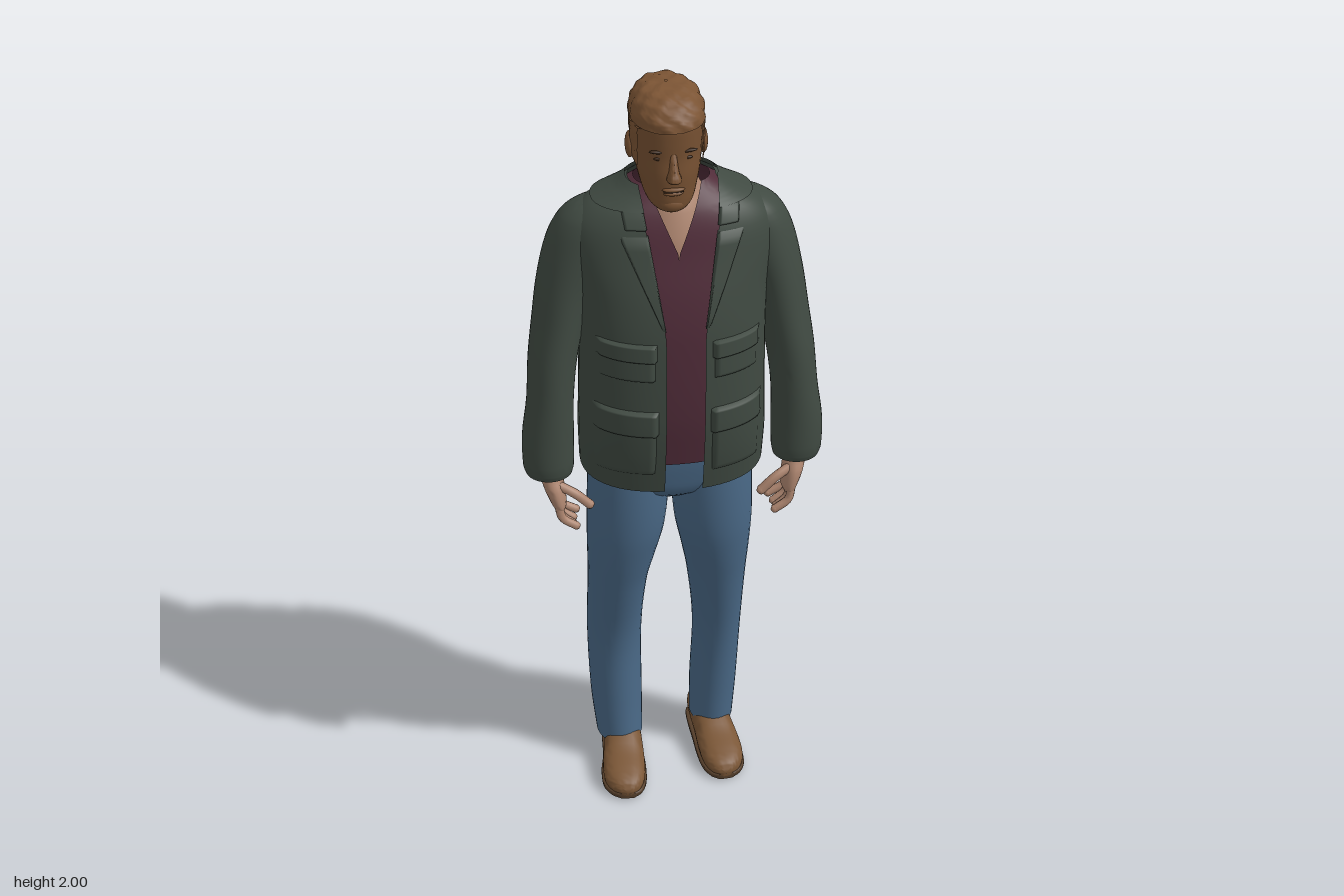
import * as THREE from 'three';
import { mergeVertices, mergeGeometries, toCreasedNormals } from 'three/addons/utils/BufferGeometryUtils.js';

const mat = (name, color, double) => {
  const m = new THREE.MeshStandardMaterial({ color });
  m.name = name;
  if (double) m.side = THREE.DoubleSide;
  return m;
};

// Smooth interpolation of cross-sections [y, cx, cz, rx, rz] at height y
function sample(rings, y) {
  let i = 0;
  while (i < rings.length - 2 && y > rings[i + 1][0]) i++;
  const a = rings[i], b = rings[i + 1], p = rings[i - 1] || a, q = rings[i + 2] || b;
  const h = b[0] - a[0], t = THREE.MathUtils.clamp((y - a[0]) / h, 0, 1), t2 = t * t, t3 = t2 * t;
  return a.map((_, k) => {
    if (k === 0) return y;
    const m0 = (b[k] - p[k]) / (b[0] - p[0]), m1 = (q[k] - a[k]) / (q[0] - a[0]);
    return (2 * t3 - 3 * t2 + 1) * a[k] + (t3 - 2 * t2 + t) * h * m0 + (3 * t2 - 2 * t3) * b[k] + (t3 - t2) * h * m1;
  });
}

// Skin over cross-sections; gap(y) = [left, right] leaves the front open
function loft(rings, { n = 2, seg = 36, sub = 4, gap = null, tweak = null } = {}) {
  const pos = [], idx = [], ys = [];
  for (let i = 0; i < rings.length - 1; i++)
    for (let k = 0; k < sub; k++) ys.push(THREE.MathUtils.lerp(rings[i][0], rings[i + 1][0], k / sub));
  ys.push(rings.at(-1)[0]);
  const bend = v => Math.sign(v) * Math.abs(v) ** (2 / n);
  for (const y of ys) {
    const [, cx, cz, rx, rz] = sample(rings, y);
    const [l, r] = (gap ? gap(y) : [0, 0]).map(g => Math.asin(Math.min(0.99, g / rx) ** (n / 2)));
    for (let j = 0; j <= seg; j++) {
      const th = l + (2 * Math.PI - l - r) * j / seg;
      const p = [cx + rx * bend(Math.sin(th)), y, cz + rz * bend(Math.cos(th))];
      pos.push(...(tweak ? tweak(p) : p));
    }
  }
  const w = seg + 1;
  for (let i = 0; i < ys.length - 1; i++)
    for (let j = 0; j < seg; j++) {
      const a = i * w + j, c = a + w;
      idx.push(a, a + 1, c, a + 1, c + 1, c);
    }
  if (!gap) {
    const last = (ys.length - 1) * w, lo = rings[0], hi = rings.at(-1), base = pos.length / 3;
    pos.push(lo[1], lo[0], lo[2], hi[1], hi[0], hi[2]);
    for (let j = 0; j < seg; j++) idx.push(base, j + 1, j, base + 1, last + j, last + j + 1);
  }
  const g = new THREE.BufferGeometry();
  g.setAttribute('position', new THREE.Float32BufferAttribute(pos, 3));
  g.setIndex(idx);
  return toCreasedNormals(mergeVertices(g, 1e-5), 1);
}

const mirror = (rings, s) => rings.map(([y, cx, ...rest]) => [y, cx * s, ...rest]);
const grow = (rings, d) => rings.map(([y, cx, cz, rx, rz]) => [y, cx, cz, rx + d, rz + d]);

const N = 2.3;
const TORSO = [
  [1.0, 0, 0.01, 0.222, 0.155], [1.1, 0, 0.02, 0.225, 0.167], [1.2, 0, 0.025, 0.222, 0.173],
  [1.4, 0, 0.026, 0.22, 0.172], [1.5, 0, 0.022, 0.225, 0.163], [1.6, 0, 0.02, 0.24, 0.14],
  [1.66, 0, 0.02, 0.232, 0.125], [1.7, 0, 0.02, 0.2, 0.11], [1.73, 0, 0.02, 0.145, 0.092], [1.757, 0, 0.02, 0.1, 0.073]];
const opening = y => [0.055, 0.036].map(b => b + Math.max(0, y - 1.42) * 0.15);

// Padded panel draped on the front of the jacket
function panel(y0, y1, edges, off) {
  const g = new THREE.PlaneGeometry(1, 1, 14, 14), p = g.attributes.position;
  for (let i = 0; i < p.count; i++) {
    const u = p.getX(i) + 0.5, v = p.getY(i) + 0.5, y = y0 + (y1 - y0) * v;
    const [xa, xb] = edges(y).sort((a, b) => a - b), x = xa + (xb - xa) * u;
    const [, , cz, rx, rz] = sample(TORSO, y);
    const z = cz + rz * Math.max(0, 1 - Math.abs(x / rx) ** N) ** (1 / N);
    const rim = Math.min(u, 1 - u, v, 1 - v) > 0.01 ? 1 : -0.3;
    p.setXYZ(i, x, y, z + off * rim);
  }
  g.computeVertexNormals();
  return g;
}

function finger(points, r) {
  const pts = points.map(p => new THREE.Vector3(...p));
  const tube = new THREE.TubeGeometry(new THREE.CatmullRomCurve3(pts), 8, r, 8);
  return mergeGeometries([tube, new THREE.SphereGeometry(r, 8, 6).translate(...points.at(-1))]);
}

export function createModel() {
  const man = new THREE.Group();
  man.name = 'standingMan';
  const M = {
    jacket: mat('jacketGreen', 0x404a42, true), shirt: mat('shirtMaroon', 0x502c39, true),
    jeans: mat('denimBlue', 0x4a6987), skin: mat('skin', 0xae8670), face: mat('faceBrown', 0x775132),
    hair: mat('hairBrown', 0x7b5434, true), shoe: mat('shoeBrown', 0x7a5636), sole: mat('soleBrown', 0x57402c),
    dark: mat('darkBrown', 0x3a2617),
  };
  const add = (name, geo, m, parent = man) => {
    const mesh = new THREE.Mesh(geo, m);
    mesh.name = name;
    parent.add(mesh);
    return mesh;
  };

  // Jacket body with a hem dipping at the front, collar, shirt
  const hem = ([x, y, z]) => [x, y - z * Math.max(0, 1.1 - y), z];
  add('jacketBody', loft(TORSO, { n: N, seg: 56, gap: opening, tweak: hem }), M.jacket);
  const collar = [1.715, 1.73, 1.745, 1.762].map((y, i) => grow([sample(TORSO, y)], 0.012 - i * 0.002)[0]);
  add('jacketCollar', loft(collar, { n: N, gap: y => opening(y).map(g => g * 0.95) }), M.jacket);
  const shirt = grow([1.06, 1.2, 1.4, 1.5, 1.6, 1.66, 1.7, 1.73, 1.757].map(y => sample(TORSO, y)), -0.013);
  add('shirt', loft(shirt, { n: N, seg: 56, gap: y => { const g = Math.max(0, y - 1.61) * 0.42; return [g, g]; } }), M.shirt);

  // Lapels and pockets with flaps
  for (const [s, side, k] of [[1, 'left', 0], [-1, 'right', 1]]) {
    const inner = y => opening(y)[k] - 0.003;
    add(side + 'Lapel', panel(1.44, 1.665, y => [s * inner(y), s * (inner(y) + 0.006 + (y - 1.44) * 0.27)], 0.008), M.jacket);
    add(side + 'UpperLapel', panel(1.675, 1.73, y => [s * inner(y), s * (inner(y) + 0.05)], 0.009), M.jacket);
    const pocket = (name, y0, y1, a, b, off) => add(side + name, panel(y0, y1, () => [s * a, s * b], off), M.jacket);
    const a = k ? 0.055 : 0.07;
    pocket('ChestPocket', 1.31, 1.39, a + 0.005, 0.187, 0.008);
    pocket('ChestPocketFlap', 1.365, 1.41, a, 0.193, 0.014);
    pocket('LowerPocket', 1.035, 1.19, a + 0.002, 0.2, 0.008);
    pocket('LowerPocketFlap', 1.16, 1.23, a - 0.003, 0.203, 0.014);
  }

  // Sleeves and hands
  const sleeve = [
    [1.0, 0.301, 0.053, 0.056, 0.056], [1.02, 0.302, 0.053, 0.061, 0.062], [1.1, 0.301, 0.05, 0.062, 0.066],
    [1.2, 0.293, 0.045, 0.056, 0.07], [1.3, 0.283, 0.027, 0.058, 0.084], [1.4, 0.265, 0.01, 0.062, 0.092],
    [1.5, 0.245, 0, 0.067, 0.095], [1.6, 0.212, 0, 0.076, 0.09], [1.66, 0.19, 0.005, 0.068, 0.078],
    [1.69, 0.172, 0.01, 0.05, 0.058], [1.705, 0.155, 0.01, 0.028, 0.035]];
  const palm = [[0.905, 0.28, 0.07, 0.012, 0.036], [0.92, 0.282, 0.07, 0.019, 0.043],
    [0.965, 0.292, 0.067, 0.026, 0.042], [1.0, 0.298, 0.06, 0.027, 0.033], [1.04, 0.3, 0.055, 0.03, 0.032]];
  for (const [s, side] of [[1, 'left'], [-1, 'right']]) {
    add(side + 'Sleeve', loft(mirror(sleeve, s)), M.jacket);
    const hand = new THREE.Group();
    hand.name = side + 'Hand';
    man.add(hand);
    add('palm', loft(mirror(palm, s), { seg: 20 }), M.skin, hand);
    for (let i = 0; i < 4; i++) {
      const z = 0.038 + i * 0.021, d = [0.012, 0.003, 0, 0.006][i];
      add('finger', finger([[s * 0.284, 0.925, z], [s * 0.277, 0.885 + d, z + 0.003], [s * (0.25 - d), 0.86 + d, z + 0.004]], 0.0105), M.skin, hand);
    }
    add('thumb', finger([[s * 0.285, 0.975, 0.085], [s * 0.245, 0.955, 0.098], [s * 0.21, 0.922, 0.1]], 0.012), M.skin, hand);
  }

  // Jeans: hips and two legs, the right foot a little ahead
  add('jeansHips', loft([[0.9, 0, -0.005, 0.06, 0.07], [0.93, 0, -0.003, 0.14, 0.1], [0.98, 0, 0, 0.195, 0.112],
    [1.05, 0, 0.005, 0.2, 0.118], [1.12, 0, 0.01, 0.19, 0.115]], { n: 2.4 }), M.jeans);
  const thigh = [[0.6, 0.126, -0.055, 0.075, 0.1], [0.7, 0.118, -0.03, 0.086, 0.106], [0.8, 0.109, -0.01, 0.097, 0.11],
    [0.93, 0.103, -0.002, 0.1, 0.113], [1.06, 0.1, 0, 0.096, 0.11]];
  const calf = {
    left: [[0.07, 0.129, -0.128, 0.057, 0.075], [0.2, 0.132, -0.118, 0.061, 0.078], [0.4, 0.136, -0.097, 0.062, 0.086]],
    right: [[0.07, 0.122, -0.09, 0.06, 0.076], [0.2, 0.128, -0.101, 0.067, 0.083], [0.4, 0.131, -0.102, 0.07, 0.09]],
  };
  // Shoe sections along z from heel to toe: [z, x, -y, half width, half height]
  const shoe = [[-0.15, 0, -0.045, 0.03, 0.03], [-0.142, 0, -0.048, 0.042, 0.044], [-0.1, 0, -0.054, 0.048, 0.054],
    [-0.02, 0, -0.05, 0.05, 0.054], [0.04, 0.003, -0.037, 0.055, 0.04], [0.1, 0.004, -0.029, 0.052, 0.031],
    [0.135, 0.002, -0.024, 0.035, 0.022], [0.148, 0, -0.02, 0.016, 0.012]];
  const sole = shoe.map(([z, x, , w]) => [z, x, -0.009, w + 0.004, 0.009]);
  for (const [s, side, x, z] of [[1, 'left', 0.128, -0.06], [-1, 'right', 0.12, -0.02]]) {
    add(side + 'JeansLeg', loft(mirror([...calf[side], ...thigh], s)), M.jeans);
    const foot = new THREE.Group();
    foot.name = side + 'Shoe';
    foot.position.set(s * x, 0, z);
    foot.rotation.y = s * 0.06;
    man.add(foot);
    add('upper', loft(mirror(shoe, s), { n: 2.4, seg: 28 }).rotateX(Math.PI / 2), M.shoe, foot);
    add('sole', loft(mirror(sole, s), { n: 5, seg: 28 }).rotateX(Math.PI / 2), M.sole, foot);
  }

  // Neck and upper chest
  add('neck', loft([[1.5, 0, 0.02, 0.1, 0.1], [1.6, 0, 0.02, 0.11, 0.12], [1.7, 0, 0.02, 0.085, 0.093],
    [1.745, 0, 0.025, 0.062, 0.066], [1.78, -0.008, 0.03, 0.057, 0.059], [1.84, -0.015, 0.045, 0.056, 0.058]]), M.skin);

  // Head, face and cropped hair
  const head = new THREE.Group();
  head.name = 'head';
  head.position.x = -0.016;
  man.add(head);
  const skull = [[1.726, 0, 0.125, 0.02, 0.025], [1.735, 0, 0.116, 0.038, 0.046], [1.75, 0, 0.1, 0.053, 0.065],
    [1.78, 0, 0.08, 0.064, 0.087], [1.82, 0, 0.068, 0.073, 0.101], [1.86, 0, 0.061, 0.077, 0.106], [1.9, 0, 0.06, 0.079, 0.109],
    [1.94, 0, 0.06, 0.079, 0.109], [1.965, 0, 0.058, 0.073, 0.1], [1.983, 0, 0.052, 0.056, 0.078], [1.992, 0, 0.048, 0.03, 0.045]];
  add('face', loft(skull, { n: 2.2 }), M.face, head);
  const tuft = ([x, y, z]) => {
    const k = 1 + 0.025 * Math.sin(x * 130 + y * 60) * Math.sin(z * 110 - y * 90);
    return [x * k, Math.min(2, y + (k - 1) * 0.1), 0.055 + (z - 0.055) * k];
  };
  const hair = [...grow([1.83, 1.87, 1.9, 1.925, 1.945, 1.965].map(y => sample(skull, y)), 0.005),
    [1.985, 0, 0.055, 0.062, 0.085], [1.995, 0, 0.05, 0.042, 0.06], [2.0, 0, 0.048, 0.003, 0.004]];
  add('hair', loft(hair, { n: 2.2, seg: 56, gap: y => { const g = y < 1.93 ? 0.073 : 0; return [g, g]; }, tweak: tuft }), M.hair, head);
  const blob = (name, m, x, y, z, sx, sy, sz) => {
    const b = add(name, new THREE.SphereGeometry(1, 16, 10), m, head);
    b.position.set(x, y, z);
    b.scale.set(sx, sy, sz);
    return b;
  };
  add('nose', loft([[1.812, 0, 0.175, 0.012, 0.01], [1.82, 0, 0.175, 0.017, 0.024], [1.835, 0, 0.172, 0.012, 0.02],
    [1.865, 0, 0.165, 0.008, 0.01], [1.88, 0, 0.16, 0.008, 0.006]], { seg: 16 }), M.face, head);
  blob('upperLip', M.face, 0, 1.79, 0.164, 0.026, 0.006, 0.01);
  blob('lowerLip', M.face, 0, 1.78, 0.162, 0.023, 0.006, 0.01);
  blob('mouthLine', M.dark, 0, 1.785, 0.167, 0.024, 0.0015, 0.004);
  blob('chin', M.face, 0, 1.748, 0.15, 0.028, 0.02, 0.018);
  for (const s of [1, -1]) {
    blob('brow', M.dark, s * 0.034, 1.881, 0.158, 0.021, 0.004, 0.006).rotation.z = s * 0.08;
    blob('eye', M.dark, s * 0.032, 1.864, 0.157, 0.012, 0.004, 0.004);
    blob('ear', M.face, s * 0.083, 1.855, 0.055, 0.011, 0.031, 0.019).rotation.x = -0.2;
  }
  return man;
}
